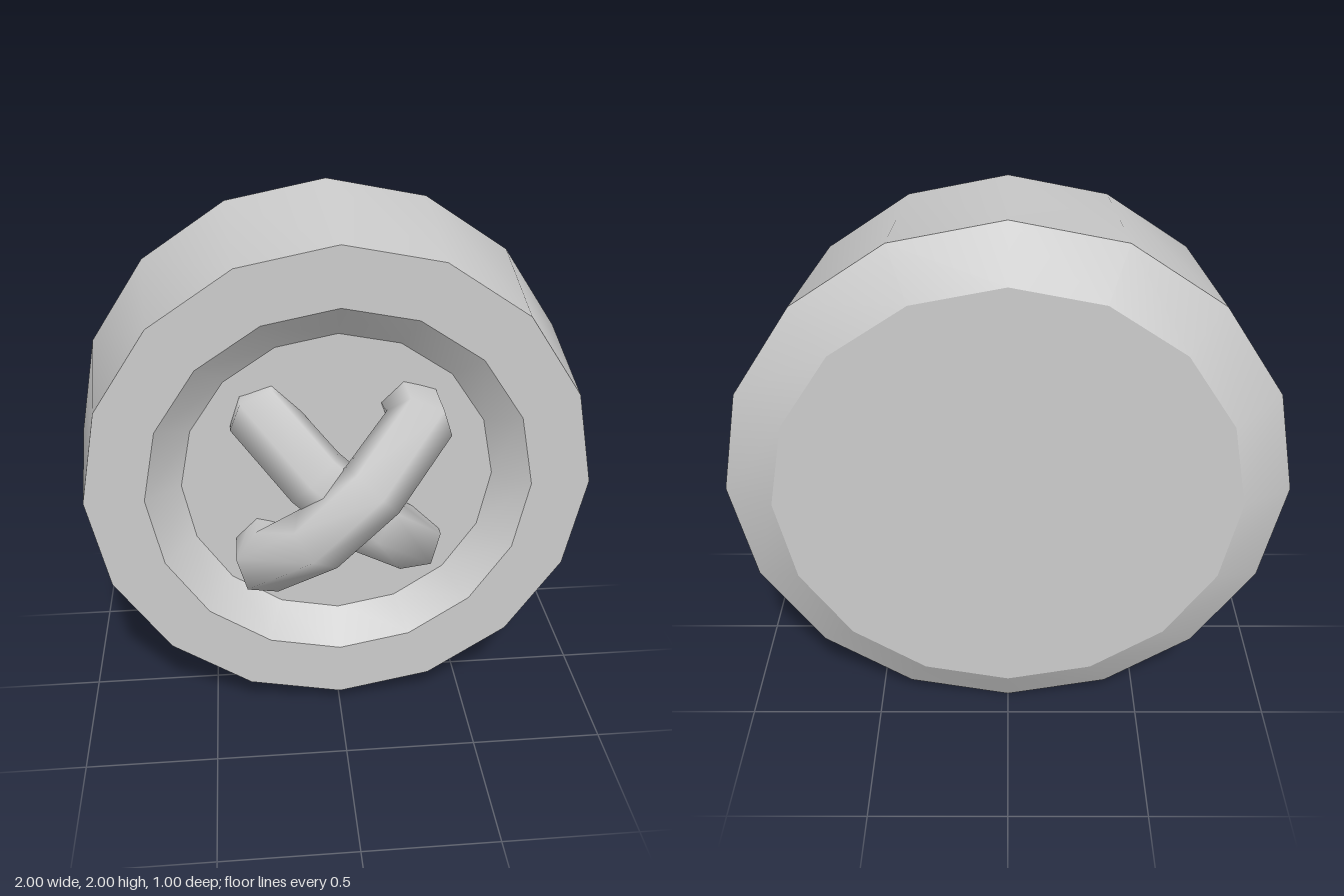
import * as THREE from 'three';
import { toCreasedNormals } from 'three/addons/utils/BufferGeometryUtils.js';

// Arched thread: a six-sided tube swept along local x, bulging towards +z
function threadGeometry() {
  // half path: [distance from middle, height, outward tilt in degrees]
  const half = [[0.137, 0.379, 15], [0.395, 0.238, 60], [0.378, 0.0, 90]];
  const path = [
    ...half.map(([u, z, tilt]) => [-u, z, -tilt]).reverse(),
    ...half,
  ];
  const sides = 6, radius = 0.125;
  const positions = [], index = [];
  path.forEach(([u, z, tilt], i) => {
    const t = THREE.MathUtils.degToRad(tilt);
    for (let j = 0; j < sides; j++) {
      const a = (j / sides) * Math.PI * 2;
      const out = radius * Math.cos(a);
      positions.push(u + out * Math.sin(t), radius * Math.sin(a), z + out * Math.cos(t));
      if (i === path.length - 1) continue;
      const k = (j + 1) % sides;
      const p = i * sides + j, q = i * sides + k;
      index.push(p, p + sides, q, q, p + sides, q + sides);
    }
  });
  const geometry = new THREE.BufferGeometry();
  geometry.setAttribute('position', new THREE.Float32BufferAttribute(positions, 3));
  geometry.setIndex(index);
  geometry.computeVertexNormals();
  return geometry;
}

export function createModel() {
  const group = new THREE.Group();
  group.name = 'button';
  const material = new THREE.MeshStandardMaterial({ color: 0xcccccc });

  // Disc with bevelled back, tapered rim and recessed front
  const profile = [
    [0, -0.5], [0.82, -0.5], [1, -0.4], [0.935, 0.22],
    [0.715, 0.22], [0.585, 0.12], [0, 0.12],
  ].map(([r, h]) => new THREE.Vector2(r, h));
  const discGeometry = new THREE.LatheGeometry(profile, 16);
  discGeometry.rotateX(Math.PI / 2);
  const disc = new THREE.Mesh(toCreasedNormals(discGeometry, 0.45), material);
  disc.name = 'disc';
  disc.position.y = 1;
  group.add(disc);

  // Two crossed threads, one lying over the other
  const thread = threadGeometry();
  [['upperThread', 1, 0], ['lowerThread', -1, -0.11]].forEach(([name, side, z]) => {
    const mesh = new THREE.Mesh(thread, material);
    mesh.name = name;
    mesh.rotation.z = side * Math.PI / 4;
    mesh.position.set(0, 1, z);
    group.add(mesh);
  });

  return group;
}
